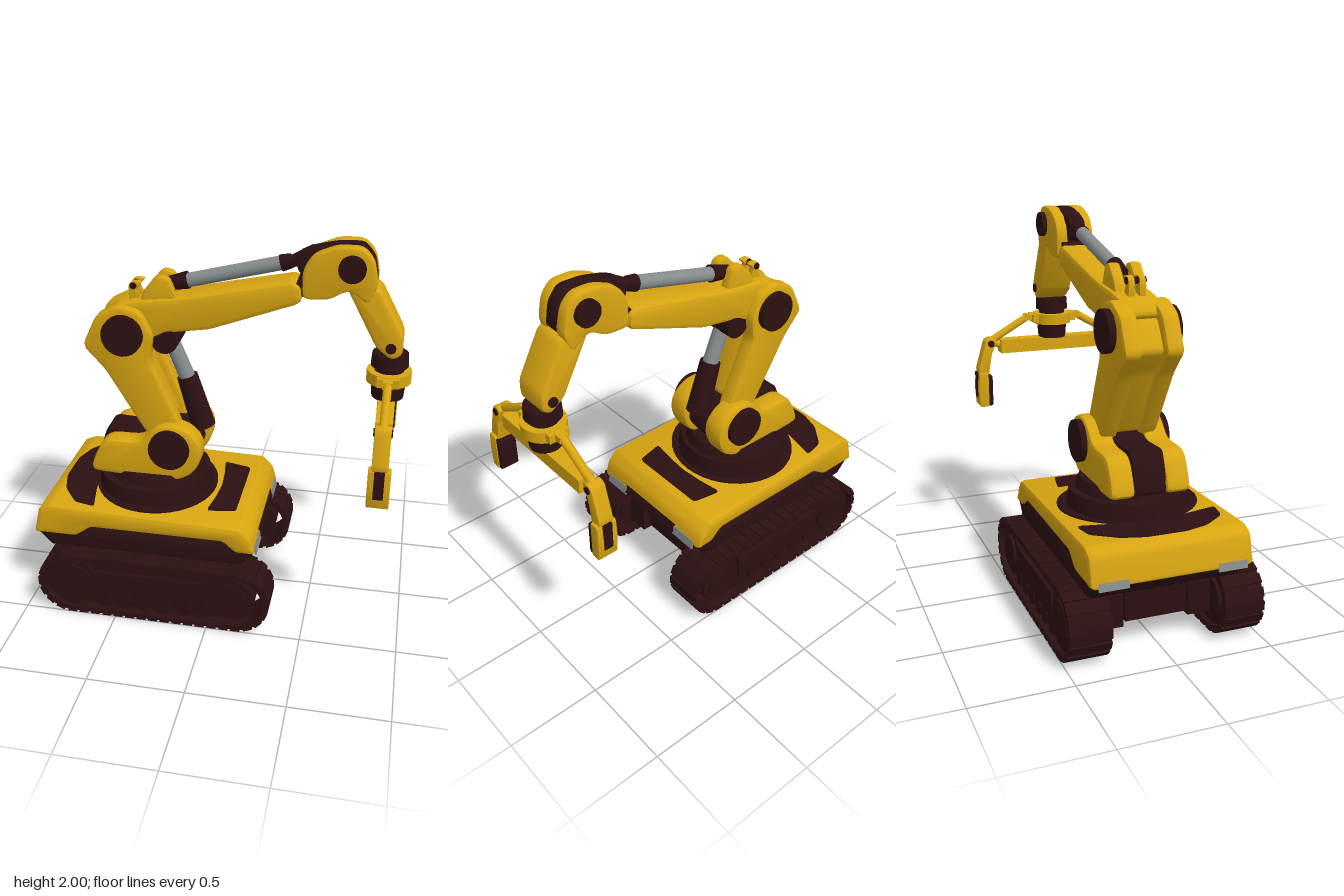
import * as THREE from 'three';
import { toCreasedNormals } from 'three/addons/utils/BufferGeometryUtils.js';

const mat = (name, color) => Object.assign(new THREE.MeshStandardMaterial({ color }), { name });

export function createModel() {
  const yellow = mat('yellow paint', 0xd8a511);
  const dark = mat('dark brown', 0x2c1012);
  const grey = mat('steel grey', 0x868b8c);
  const model = new THREE.Group();
  model.name = 'trackedRobotArm';

  function add(name, geo, material, parent = model) {
    const mesh = new THREE.Mesh(geo, material);
    mesh.name = name;
    parent.add(mesh);
    return mesh;
  }
  function group(name, parent = model) {
    const g = new THREE.Group();
    g.name = name;
    parent.add(g);
    return g;
  }
  // closed outline with softened corners
  function outline(pts, r) {
    const p = pts.map(([x, y]) => new THREE.Vector2(x, y));
    const s = new THREE.Shape();
    p.forEach((c, i) => {
      const a = p[(i + p.length - 1) % p.length], b = p[(i + 1) % p.length];
      const da = a.clone().sub(c), db = b.clone().sub(c);
      const s0 = c.clone().add(da.clone().setLength(Math.min(r, da.length() * 0.45)));
      const s1 = c.clone().add(db.clone().setLength(Math.min(r, db.length() * 0.45)));
      if (i === 0) s.moveTo(s0.x, s0.y); else s.lineTo(s0.x, s0.y);
      s.quadraticCurveTo(c.x, c.y, s1.x, s1.y);
    });
    s.closePath();
    return s;
  }
  // side profile extruded from z0 to z1 with bevelled edges
  function slab(name, pts, z0, z1, material, parent, bevel = 0.015, r = 0.03) {
    const geo = new THREE.ExtrudeGeometry(outline(pts, r), {
      depth: z1 - z0 - 2 * bevel, bevelEnabled: bevel > 0, bevelThickness: bevel,
      bevelSize: bevel, bevelOffset: -bevel, bevelSegments: 2, curveSegments: 4,
    });
    geo.translate(0, 0, z0 + bevel);
    return add(name, toCreasedNormals(geo, 0.6), material, parent);
  }
  const sides = (fn) => [1, -1].forEach(fn);
  // same slab on both sides of the centre plane
  const pair = (name, pts, z0, z1, material, parent, bevel, r) => sides((s) =>
    slab(name, pts, s > 0 ? z0 : -z1, s > 0 ? z1 : -z0, material, parent, bevel, r));
  function box(name, x, y, z, w, h, d, material, parent) {
    const m = add(name, new THREE.BoxGeometry(w, h, d), material, parent);
    m.position.set(x, y, z);
    return m;
  }
  // cylinder between two points
  function rod(name, a, b, r0, r1, material, parent, n = 20) {
    const A = new THREE.Vector3(...a), B = new THREE.Vector3(...b);
    const m = add(name, new THREE.CylinderGeometry(r1, r0, A.distanceTo(B), n), material, parent);
    m.position.copy(A).add(B).multiplyScalar(0.5);
    m.quaternion.setFromUnitVectors(new THREE.Vector3(0, 1, 0), B.sub(A).normalize());
    return m;
  }
  const axle = (name, x, y, z0, z1, r, material, parent, n = 24) =>
    rod(name, [x, y, z0], [x, y, z1], r, r, material, parent, n);

  // crawler tracks
  const xa = -0.742, xb = 0.152, cy = 0.18, run = xb - xa;
  const stadium = (path, r) => {
    path.moveTo(xa, cy - r);
    path.lineTo(xb, cy - r);
    path.absarc(xb, cy, r, -Math.PI / 2, Math.PI / 2, false);
    path.lineTo(xa, cy + r);
    path.absarc(xa, cy, r, Math.PI / 2, Math.PI * 1.5, false);
    return path;
  };
  sides((s) => {
    const t = group(s > 0 ? 'leftTrack' : 'rightTrack');
    const belt = stadium(new THREE.Shape(), 0.172);
    belt.holes.push(stadium(new THREE.Path(), 0.147));
    const geo = new THREE.ExtrudeGeometry(belt, { depth: 0.206, bevelEnabled: false, curveSegments: 14 });
    geo.translate(0, 0, s * 0.395 - 0.103);
    add('trackBelt', toCreasedNormals(geo, 0.6), dark, t);
    const R = 0.165, arc = Math.PI * R, total = 2 * run + 2 * arc, count = 44;
    for (let i = 0; i < count; i++) {
      const d = (i / count) * total;
      let x, y, a;
      if (d < run) [x, y, a] = [xa + d, cy - R, -Math.PI / 2];
      else if (d < run + arc) {
        a = (d - run) / R - Math.PI / 2;
        [x, y] = [xb + R * Math.cos(a), cy + R * Math.sin(a)];
      } else if (d < 2 * run + arc) [x, y, a] = [xb - (d - run - arc), cy + R, Math.PI / 2];
      else {
        a = (d - 2 * run - arc) / R + Math.PI / 2;
        [x, y] = [xa + R * Math.cos(a), cy + R * Math.sin(a)];
      }
      box('trackLink', x, y, s * 0.395, 0.03, 0.048, 0.212, dark, t).rotation.z = a;
    }
    [[xa + 0.01, 0.146], [xb - 0.025, 0.125]].forEach(([x, r]) => {
      axle('trackWheel', x, cy, s * 0.31, s * 0.475, r, dark, t);
      axle('wheelHub', x, cy, s * 0.29, s * 0.49, r * 0.75, dark, t);
    });
    box('trackFrame', -0.31, 0.18, s * 0.385, 0.84, 0.27, 0.15, dark, t);
    box('trackGuard', -0.3, 0.2, s * 0.39, 0.6, 0.13, 0.19, dark, t);
    for (let i = 0; i < 6; i++) axle('roadRoller', -0.57 + i * 0.11, 0.09, s * 0.31, s * 0.48, 0.05, dark, t, 12);
    box('trackMount', -0.3, 0.19, s * 0.23, 0.9, 0.17, 0.12, dark, t);
  });

  // chassis
  const hull = group('hull');
  box('belly', -0.32, 0.21, 0, 0.86, 0.16, 0.32, dark, hull);
  const keel = new THREE.CylinderGeometry(Math.SQRT1_2, Math.SQRT1_2 * 0.6, 1, 4).rotateY(Math.PI / 4).toNonIndexed();
  keel.scale(1, 0.1, 0.56);
  keel.computeVertexNormals();
  add('keel', keel, dark, hull).position.set(-0.33, 0.315, 0);
  slab('lowerHull', [[-0.95, 0.43], [-0.87, 0.345], [0.17, 0.345], [0.23, 0.42], [0.225, 0.47], [0.13, 0.47],
    [0.06, 0.495], [-0.64, 0.495], [-0.72, 0.47], [-0.945, 0.47]], -0.405, 0.405, dark, hull, 0.035, 0.01);
  slab('upperHull', [[-0.96, 0.425], [-0.725, 0.425], [-0.64, 0.49], [0.07, 0.49], [0.135, 0.43], [0.24, 0.43],
    [0.215, 0.52], [0.16, 0.575], [-0.86, 0.605], [-0.925, 0.575]], -0.412, 0.412, yellow, hull, 0.025, 0.02);
  // bumper panel and lamps lie against the sloped end faces
  box('frontPanel', 0.2335, 0.446, 0, 0.008, 0.05, 0.42, dark, hull).rotation.z = 0.27;
  sides((s) => {
    box('frontLamp', 0.236, 0.434, s * 0.285, 0.009, 0.05, 0.16, grey, hull).rotation.z = 0.2;
    box('rearLamp', -0.955, 0.435, s * 0.3, 0.009, 0.04, 0.15, grey, hull).rotation.z = -0.23;
  });

  // painted deck plates follow the slight slope of the deck
  const deck = group('deckPlates', hull);
  deck.position.set(-0.35, 0.59, 0);
  deck.rotation.z = -0.029;
  const flat = (name, pts) => {
    const m = slab(name, pts, -0.008, 0, dark, deck, 0, 0.02);
    m.rotation.x = Math.PI / 2;
    m.position.set(0.35, 0, 0);
  };
  flat('rearDeckPlate', [[-0.63, 0.36], [-0.74, 0.34], [-0.83, 0.22], [-0.865, 0.1], [-0.865, -0.1], [-0.83, -0.22],
    [-0.74, -0.34], [-0.63, -0.36], [-0.67, -0.18], [-0.69, 0], [-0.67, 0.18]]);
  flat('frontDeckPlate', [[-0.04, -0.26], [0.11, -0.23], [0.11, 0.23], [-0.04, 0.26], [-0.02, 0.13], [-0.01, 0], [-0.02, -0.13]]);
  const disc = add('deckDisc', new THREE.CylinderGeometry(0.36, 0.36, 0.008, 40), dark, deck);
  disc.scale.x = 0.92;
  disc.position.set(-0.02, 0.004, 0);

  // turntable and shoulder
  const turret = group('turret');
  rod('turntable', [-0.38, 0.58, 0], [-0.38, 0.685, 0], 0.315, 0.3, dark, turret, 32);
  rod('turntableRing', [-0.37, 0.68, 0], [-0.37, 0.74, 0], 0.265, 0.245, dark, turret, 32);
  pair('shoulderCheek', [[-0.69, 0.72], [-0.67, 0.8], [-0.61, 0.92], [-0.41, 0.92], [-0.34, 1.0], [-0.27, 1.03],
    [-0.17, 1.02], [-0.09, 0.95], [-0.08, 0.85], [-0.13, 0.75], [-0.23, 0.7]], 0.08, 0.207, yellow, turret, 0.025, 0.06);
  slab('shoulderCore', [[-0.67, 0.72], [-0.66, 0.82], [-0.62, 0.935], [-0.42, 0.925], [-0.3, 0.98], [-0.15, 0.98],
    [-0.11, 0.85], [-0.2, 0.72]], -0.085, 0.085, dark, turret);
  sides((s) => axle('shoulderCap', -0.25, 0.9, s * 0.18, s * 0.237, 0.108, dark, turret));

  // lower arm
  const lower = group('lowerArm');
  const lowerProfile = [[-0.71, 1.42], [-0.63, 1.59], [-0.51, 1.65], [-0.4, 1.62], [-0.34, 1.5], [-0.36, 1.36],
    [-0.2, 1.0], [-0.22, 0.88], [-0.34, 0.88], [-0.42, 1.0], [-0.6, 1.3]];
  pair('armBeam', lowerProfile, 0.06, 0.15, yellow, lower, 0.02, 0.035);
  slab('armWeb', [[-0.66, 1.42], [-0.58, 1.56], [-0.45, 1.56], [-0.4, 1.36], [-0.25, 1.0], [-0.37, 0.95], [-0.56, 1.3]],
    -0.08, 0.08, yellow, lower);
  sides((s) => axle('elbowCap', -0.49, 1.5, s * 0.13, s * 0.185, 0.106, dark, lower));

  // upper arm
  const upper = group('upperArm');
  slab('upperBeam', [[-0.58, 1.58], [-0.54, 1.64], [-0.4, 1.67], [-0.22, 1.69], [0.35, 1.81], [0.39, 1.79], [0.4, 1.72],
    [0.37, 1.695], [-0.06, 1.535], [-0.28, 1.5], [-0.42, 1.42]], -0.105, 0.105, yellow, upper, 0.025, 0.02);
  pair('pistonEar', [[-0.42, 1.64], [-0.39, 1.72], [-0.32, 1.795], [-0.265, 1.785], [-0.22, 1.67]],
    0.025, 0.085, yellow, upper, 0.015, 0.02);
  pair('rearClip', [[-0.48, 1.63], [-0.48, 1.73], [-0.455, 1.75], [-0.41, 1.745], [-0.44, 1.71], [-0.41, 1.64]],
    0.012, 0.045, yellow, upper, 0.005, 0.01);
  axle('rearClipPin', -0.455, 1.725, -0.05, 0.05, 0.018, dark, upper, 12);
  axle('lowerPistonPivot', -0.29, 1.46, -0.1, 0.1, 0.07, dark, upper);

  // hydraulic pistons
  const pistons = group('pistons');
  rod('lowerBarrel', [-0.11, 0.95, 0], [-0.195, 1.235, 0], 0.065, 0.055, dark, pistons);
  rod('lowerRod', [-0.19, 1.22, 0], [-0.29, 1.46, 0], 0.042, 0.042, grey, pistons);
  rod('upperRod', [-0.23, 1.745, 0], [0.32, 1.885, 0], 0.036, 0.036, grey, pistons);
  rod('upperRearCollar', [-0.3, 1.73, 0], [-0.18, 1.76, 0], 0.034, 0.045, dark, pistons);
  rod('upperFrontCollar', [0.285, 1.875, 0], [0.335, 1.89, 0], 0.042, 0.036, dark, pistons);
  rod('upperEndJoint', [0.33, 1.885, 0], [0.45, 1.93, 0], 0.028, 0.05, dark, pistons);

  // head joint and forearm
  const head = group('forearm');
  const cheek = [[0.4, 1.75], [0.4, 1.88], [0.45, 1.955], [0.56, 2], [0.68, 2], [0.735, 1.94], [0.76, 1.82],
    [0.72, 1.72], [0.62, 1.79], [0.53, 1.735], [0.42, 1.73]];
  pair('headCheek', cheek, 0.035, 0.105, yellow, head, 0.015, 0.035);
  slab('headCore', [[0.37, 1.85], [0.36, 1.93], [0.43, 1.965], [0.56, 1.995], [0.68, 1.998], [0.735, 1.935], [0.758, 1.81],
    [0.7, 1.78], [0.6, 1.8], [0.5, 1.76]], -0.045, 0.045, dark, head, 0.006, 0.03);
  axle('armCollar', 0.405, 1.78, -0.08, 0.08, 0.042, dark, head);
  slab('forearmBeam', [[0.61, 1.8], [0.68, 1.81], [0.77, 1.8], [0.9, 1.56], [0.9, 1.47], [0.85, 1.44],
    [0.77, 1.5]], -0.098, 0.098, yellow, head, 0.025, 0.03);
  sides((s) => {
    axle('headCap', 0.635, 1.9, s * 0.09, s * 0.13, 0.066, dark, head);
    axle('wristPin', 0.842, 1.51, s * 0.09, s * 0.106, 0.026, dark, head, 16);
  });

  // wrist
  const gx = 0.842, wrist = group('wrist');
  rod('wristFlange', [gx, 1.385, 0], [gx, 1.45, 0], 0.094, 0.09, dark, wrist, 28);
  rod('wristNeck', [gx, 1.3, 0], [gx, 1.39, 0], 0.075, 0.075, dark, wrist);
  rod('wristCollar', [gx, 1.3, 0], [gx, 1.36, 0], 0.112, 0.112, yellow, wrist, 28);
  rod('wristMotor', [gx, 1.215, 0], [gx, 1.305, 0], 0.08, 0.088, dark, wrist);

  // gripper, profiled in the z-y plane
  const gripper = group('gripper');
  box('crossBar', gx, 1.178, 0, 0.085, 0.078, 0.65, yellow, gripper);
  box('strutBridge', gx, 1.34, 0, 0.05, 0.035, 0.34, yellow, gripper);
  box('bridgePlate', gx, 1.335, 0, 0.11, 0.045, 0.26, yellow, gripper);
  sides((s) => {
    const f = group(s > 0 ? 'leftFinger' : 'rightFinger', gripper);
    rod('strut', [gx, 1.343, s * 0.15], [gx, 1.205, s * 0.39], 0.022, 0.022, yellow, f, 10);
    rod('lowerLink', [gx, 1.183, s * 0.31], [gx, 1.205, s * 0.39], 0.022, 0.022, yellow, f, 10);
    // outline points are given as distance outward and height
    const across = (name, pts, w, material) => {
      const m = slab(name, pts.map(([z, y]) => [-s * z, y]), -w / 2, w / 2, material, f, 0.006, 0.012);
      m.rotation.y = Math.PI / 2;
      m.position.x = gx;
    };
    across('fingerLink', [[0.35, 1.215], [0.38, 1.235], [0.415, 1.22], [0.465, 1.05], [0.46, 1.0], [0.405, 1.0], [0.385, 1.13]], 0.08, yellow);
    across('fingerShell', [[0.41, 1.03], [0.465, 1.03], [0.472, 0.93], [0.465, 0.825], [0.41, 0.825]], 0.11, yellow);
    across('gripPad', [[0.385, 1.01], [0.415, 1.02], [0.415, 0.825], [0.385, 0.83]], 0.1, dark);
    box('fingerInset', gx, 0.955, s * 0.469, 0.05, 0.15, 0.009, dark, f);
    rod('fingerPin', [gx - 0.046, 1.2, s * 0.387], [gx + 0.046, 1.2, s * 0.387], 0.02, 0.02, dark, f, 12);
  });
  return model;
}
